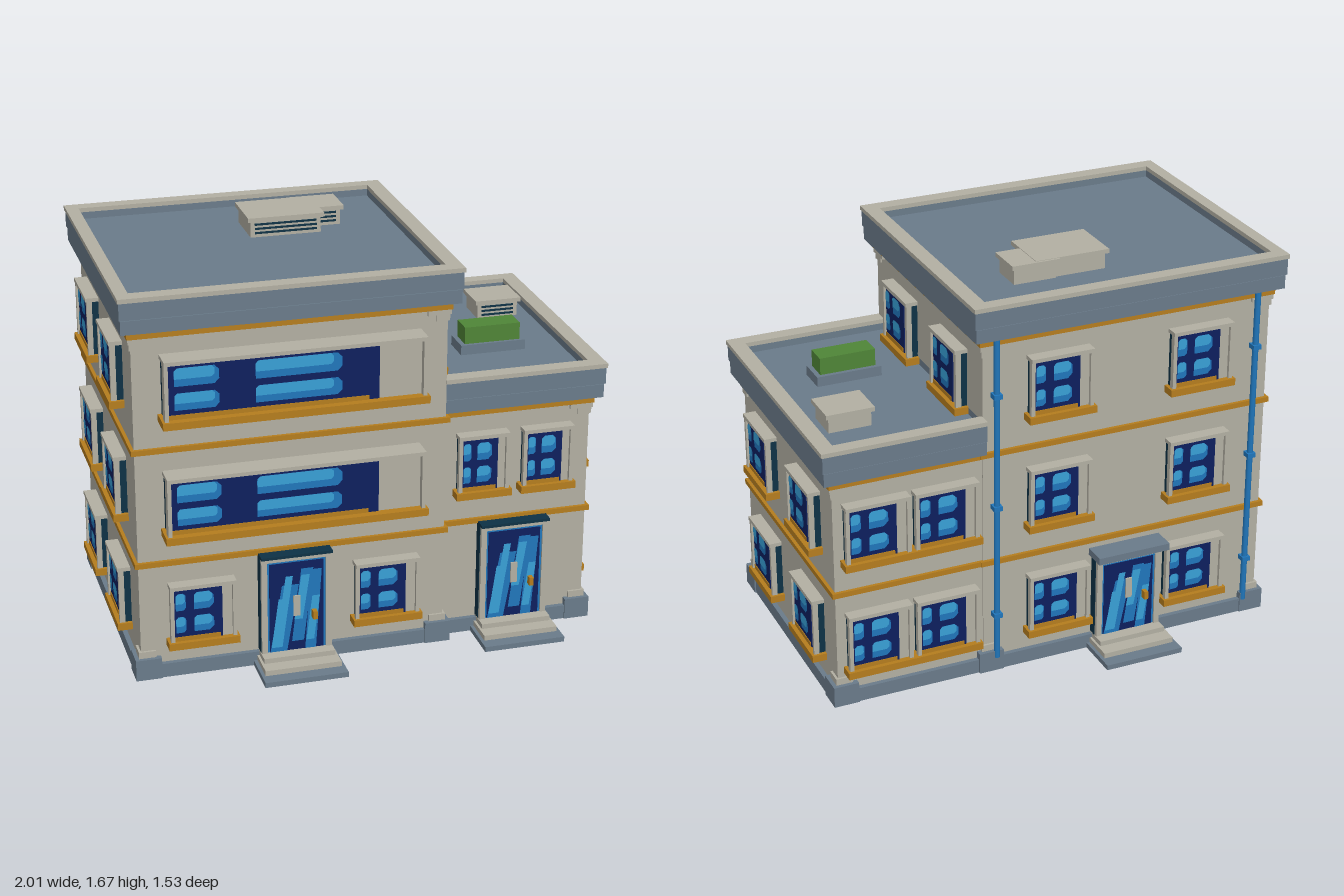
import * as THREE from 'three';

const paint = (name, color, side = THREE.FrontSide) => {
  const m = new THREE.MeshStandardMaterial({ color, side });
  m.name = name;
  return m;
};

export function createModel() {
  const stone = paint('warm grey stone', 0xb2afa2);
  const slate = paint('slate grey', 0x6a7b8a);
  const ochre = paint('ochre trim', 0xb57d1e);
  const teal = paint('dark teal', 0x0d3145);
  const navy = paint('navy glass', 0x0d1f5e);
  const blue = paint('mid blue', 0x2076bb);
  const sky = paint('light blue', 0x38a0d6);
  const green = paint('hedge green', 0x4f8537);

  const model = new THREE.Group();
  model.name = 'building';

  const group = (name, parent = model) => {
    const g = new THREE.Group();
    g.name = name;
    parent.add(g);
    return g;
  };
  const add = (parent, name, geo, mat) => {
    const m = new THREE.Mesh(geo, mat);
    m.name = name;
    parent.add(m);
    return m;
  };
  // Box given by its limits on each axis
  const box = (parent, name, mat, [x0, x1], [y0, y1], [z0, z1]) => {
    const m = add(parent, name, new THREE.BoxGeometry(x1 - x0, y1 - y0, z1 - z0), mat);
    m.position.set((x0 + x1) / 2, (y0 + y1) / 2, (z0 + z1) / 2);
    return m;
  };
  // Flat painted polygon on a facade
  const plate = (parent, name, mat, points, z) => {
    const s = new THREE.Shape(points.map(([x, y]) => new THREE.Vector2(x, y)));
    add(parent, name, new THREE.ShapeGeometry(s), mat).position.z = z;
  };
  // Soft-cornered reflection patch
  const patch = (parent, mat, x0, x1, y0, y1, z) => {
    const r = Math.min(x1 - x0, y1 - y0) * 0.25;
    plate(parent, 'reflection', mat, [[x0, y0], [x1 - r, y0], [x1, y0 + r], [x1, y1 - r],
      [x1 - r, y1], [x0 + r, y1], [x0, y1 - r]], z);
  };
  // Horizontal frame with an opening
  const ring = (parent, name, mat, [x0, x1], [z0, z1], [ix0, ix1], [iz0, iz1], y0, y1) => {
    const rect = (P, a, b, c, d) => {
      const p = new P();
      p.moveTo(a, -d); p.lineTo(b, -d); p.lineTo(b, -c); p.lineTo(a, -c); p.closePath();
      return p;
    };
    const s = rect(THREE.Shape, x0, x1, z0, z1);
    s.holes.push(rect(THREE.Path, ix0, ix1, iz0, iz1));
    const geo = new THREE.ExtrudeGeometry(s, { depth: y1 - y0, bevelEnabled: false });
    geo.rotateX(-Math.PI / 2);
    add(parent, name, geo, mat).position.y = y0;
  };
  // Group on a wall: local x runs to the viewer's right, local z outward
  const onWall = (name, side, along, wall, y) => {
    const g = group(name);
    const turn = { front: 0, right: 1, back: 2, left: 3 }[side];
    g.rotation.y = turn * Math.PI / 2;
    if (turn % 2) g.position.set(wall, y, along);
    else g.position.set(along, y, wall);
    return g;
  };

  // Window standing proud of the wall, y measured at the bottom of its sill
  const addWindow = (side, along, wall, y, w = 0.27, d = 0.05) => {
    const g = onWall('window', side, along, wall, y);
    const h = w / 2, b = 0.03, t = 0.275;
    box(g, 'windowBacking', teal, [-h + 0.006, h - 0.006], [b, t - 0.015], [-0.01, d * 0.55]);
    box(g, 'windowPanel', stone, [-h + 0.01, h - 0.01], [b, t - 0.01], [d * 0.55, d * 0.72]);
    for (const s of [-1, 1])
      box(g, 'windowJamb', stone, [s * (h - 0.008) - 0.008, s * (h - 0.008) + 0.008], [b, t - 0.014], [d * 0.55, d]);
    box(g, 'windowLintel', stone, [-h, h], [t - 0.016, t], [0, d + 0.004]);
    box(g, 'windowSill', ochre, [-h - 0.01, h + 0.01], [0, b], [-0.01, d + 0.011]);
    const x0 = -h + 0.017, gw = (w - 0.034) * 0.83, y0 = b, y1 = t - 0.017, gh = y1 - y0, z = d * 0.72;
    box(g, 'glass', navy, [x0, x0 + gw], [y0, y1], [z, z + 0.004]);
    box(g, 'innerSill', ochre, [x0, x0 + gw * 0.95], [y0, y0 + 0.018], [z, z + 0.007]);
    for (const [a, c] of [[0.03, 0.24], [0.41, 0.82]])
      for (const [e, f] of [[0.16, 0.47], [0.59, 0.92]]) {
        const px = x0 + gw * a, qx = x0 + gw * c, py = y0 + gh * e, qy = y0 + gh * f;
        patch(g, blue, px, qx, py, qy, z + 0.006);
        patch(g, sky, px, px + (qx - px) * 0.9, py + (qy - py) * 0.4, qy, z + 0.0075);
      }
  };

  // Glazed door with a deep surround and three steps
  const addDoor = (side, along, wall, top, canopy) => {
    const g = onWall('door', side, along, wall, 0);
    const h = 0.147, d = 0.055;
    box(g, 'doorSurround', teal, [-h, h], [0.05, top], [-0.01, d * 0.7]);
    box(g, 'doorHead', teal, [-h, h], [top - 0.012, top], [0, d + 0.01]);
    for (const s of [-1, 1])
      box(g, 'doorJamb', stone, [s * 0.133 - 0.012, s * 0.133 + 0.012], [0.05, top - 0.012], [0, d]);
    box(g, 'doorLintel', stone, [-0.145, 0.145], [top - 0.03, top - 0.012], [0, d]);
    box(g, 'doorFrame', blue, [-0.121, 0.121], [0.05, top - 0.03], [0, d - 0.008]);
    const z = d - 0.006, y0 = 0.065, y1 = top - 0.04, H = y1 - y0;
    box(g, 'doorGlass', navy, [-0.112, 0.112], [y0, y1], [z - 0.004, z]);
    // Slanted reflections: bottom x, top x, width, start and end height
    for (const [mat, a, b, w, e, f] of [[blue, -0.11, -0.06, 0.07, 0, 0.75], [blue, -0.02, 0.02, 0.05, 0.1, 0.92],
      [blue, 0.035, 0.06, 0.045, 0, 0.9], [sky, -0.105, -0.075, 0.045, 0.05, 0.6],
      [sky, -0.01, 0.02, 0.035, 0.35, 0.85], [sky, 0.04, 0.065, 0.032, 0.1, 0.6], [sky, -0.065, -0.045, 0.03, 0.5, 0.85]])
      plate(g, 'reflection', mat, [[a, y0 + H * e], [a + w, y0 + H * e], [b + w, y0 + H * f], [b, y0 + H * f]],
        z + (mat === sky ? 0.003 : 0.0015));
    box(g, 'pushPlate', stone, [-0.014, 0.014], [0.22, 0.31], [z, z + 0.008]);
    box(g, 'doorHandle', ochre, [0.062, 0.08], [0.205, 0.24], [z, z + 0.03]);
    box(g, 'bottomStep', slate, [-0.172, 0.172], [0, 0.022], [-0.01, 0.215]);
    box(g, 'middleStep', stone, [-0.158, 0.158], [0.022, 0.044], [-0.01, 0.16]);
    box(g, 'topStep', stone, [-0.148, 0.148], [0.044, 0.065], [-0.01, 0.1]);
    if (canopy) box(g, 'canopy', slate, [-0.16, 0.16], [top, top + 0.03], [-0.01, 0.1]);
  };

  // One block: walls, plinth, bands, corner blocks, cornice and sunken roof
  const addBlock = (name, X, Z, top, bands, open) => {
    const g = group(name);
    const [x0, x1] = X, [z0, z1] = Z;
    const grow = (e) => [[open ? x0 - 0.002 : x0 - e, x1 + e], [z0 - e, z1 + e]];
    const slab = (n, mat, e, y0, y1) => {
      const [a, b] = grow(e);
      box(g, n, mat, a, [y0, y1], b);
    };
    slab('walls', stone, 0, 0.03, top);
    slab('plinth', slate, 0.02, 0, 0.06);
    for (const y of bands) slab('trimBand', ochre, 0.014, y - 0.011, y + 0.011);
    slab('corniceTrim', ochre, 0.016, top - 0.027, top);
    slab('corniceLower', slate, 0.043, top + 0.004, top + 0.06);
    slab('roofDeck', slate, 0.005, top, top + 0.105);
    const [ox, oz] = grow(0.048), [cx, cz] = grow(0.053);
    const ix = [open ? x0 + 0.001 : x0, x1 - 0.012], iz = [z0 + 0.005, z1 - 0.01];
    ring(g, 'corniceUpper', slate, ox, oz, ix, iz, top + 0.064, top + 0.134);
    ring(g, 'parapetCap', stone, cx, cz, ix, iz, top + 0.134, top + 0.152);
    // Stepped blocks at the corners
    for (const sx of open ? [1] : [-1, 1])
      for (const sz of [-1, 1]) {
        const x = sx > 0 ? x1 : x0, z = sz > 0 ? z1 : z0;
        const corner = (n, mat, w, e, y0, y1) => box(g, n, mat,
          sx > 0 ? [x - w, x + e] : [x - e, x + w], [y0, y1], sz > 0 ? [z - w, z + e] : [z - e, z + w]);
        corner('cornerPlinth', slate, 0.08, 0.026, 0, 0.09);
        corner('cornerFoot', stone, 0.06, 0.01, 0.09, 0.118);
        corner('cornerCapital', stone, 0.085, 0.012, top - 0.048, top - 0.027);
        corner('cornerCapitalLower', stone, 0.05, 0.007, top - 0.075, top - 0.048);
      }
  };
  addBlock('mainBlock', [-0.945, 0.317], [-0.55, 0.55], 1.48, [0.5, 0.984], false);
  addBlock('sideWing', [0.317, 0.947], [-0.545, 0.5], 0.998, [0.5], true);

  // Windows by floor
  const floors = [0.135, 0.62, 1.105];
  floors.forEach((y, i) => {
    for (const z of [-0.27, 0.24]) {
      addWindow('left', z, -0.945, y);
      if (i < 2) addWindow('right', z - 0.01, 0.947, y);
      else addWindow('right', z, 0.317, y);
    }
    for (const x of [-0.625, -0.005]) addWindow('back', x, -0.55, y);
    if (i < 2) for (const x of [0.485, 0.775]) addWindow('back', x, -0.545, y);
    if (i === 0) for (const x of [-0.695, 0.068]) addWindow('front', x, 0.55, y);
    else addWindow('front', -0.315, 0.55, y, 1.045, 0.095);
  });
  for (const x of [0.485, 0.76]) addWindow('front', x, 0.5, 0.62, 0.215);

  // Doors
  addDoor('front', -0.315, 0.55, 0.497, false);
  addDoor('front', 0.624, 0.5, 0.497, false);
  addDoor('back', -0.315, -0.55, 0.43, true);

  // Drainpipes on the back wall
  for (const x of [-0.88, 0.265]) {
    const pipe = add(model, 'drainpipe', new THREE.CylinderGeometry(0.013, 0.013, 1.42, 8), blue);
    pipe.position.set(x, 0.77, -0.57);
    for (const y of [0.25, 0.74, 1.23])
      box(model, 'pipeBracket', blue, [x - 0.018, x + 0.018], [y, y + 0.02], [-0.588, -0.545]);
  }

  // Rooftop units with louvres toward the front
  const addUnit = (X, Z, y0, y1) => {
    const g = group('rooftopUnit');
    const [x0, x1] = X, [z0, z1] = Z;
    box(g, 'unitBody', stone, [x0 + 0.012, x1 - 0.012], [y0, y1 - 0.018], [z0 + 0.012, z1 - 0.012]);
    box(g, 'unitLid', stone, X, [y1 - 0.018, y1], Z);
    for (let i = 0; i < 3; i++)
      box(g, 'louvre', teal, [x0 + 0.03, x1 - 0.03], [y0 + 0.014 + i * 0.018, y0 + 0.022 + i * 0.018],
        [z1 - 0.014, z1 - 0.008]);
  };
  addUnit([-0.325, -0.005], [-0.34, -0.105], 1.585, 1.67);
  addUnit([-0.105, 0.1], [-0.35, -0.185], 1.585, 1.668);
  addUnit([0.69, 0.892], [-0.362, -0.192], 1.1, 1.185);

  // Roof planter
  const planter = group('planter');
  box(planter, 'planterBox', slate, [0.497, 0.775], [1.1, 1.145], [0.062, 0.192]);
  box(planter, 'hedge', green, [0.517, 0.755], [1.14, 1.217], [0.08, 0.178]);

  return model;
}
